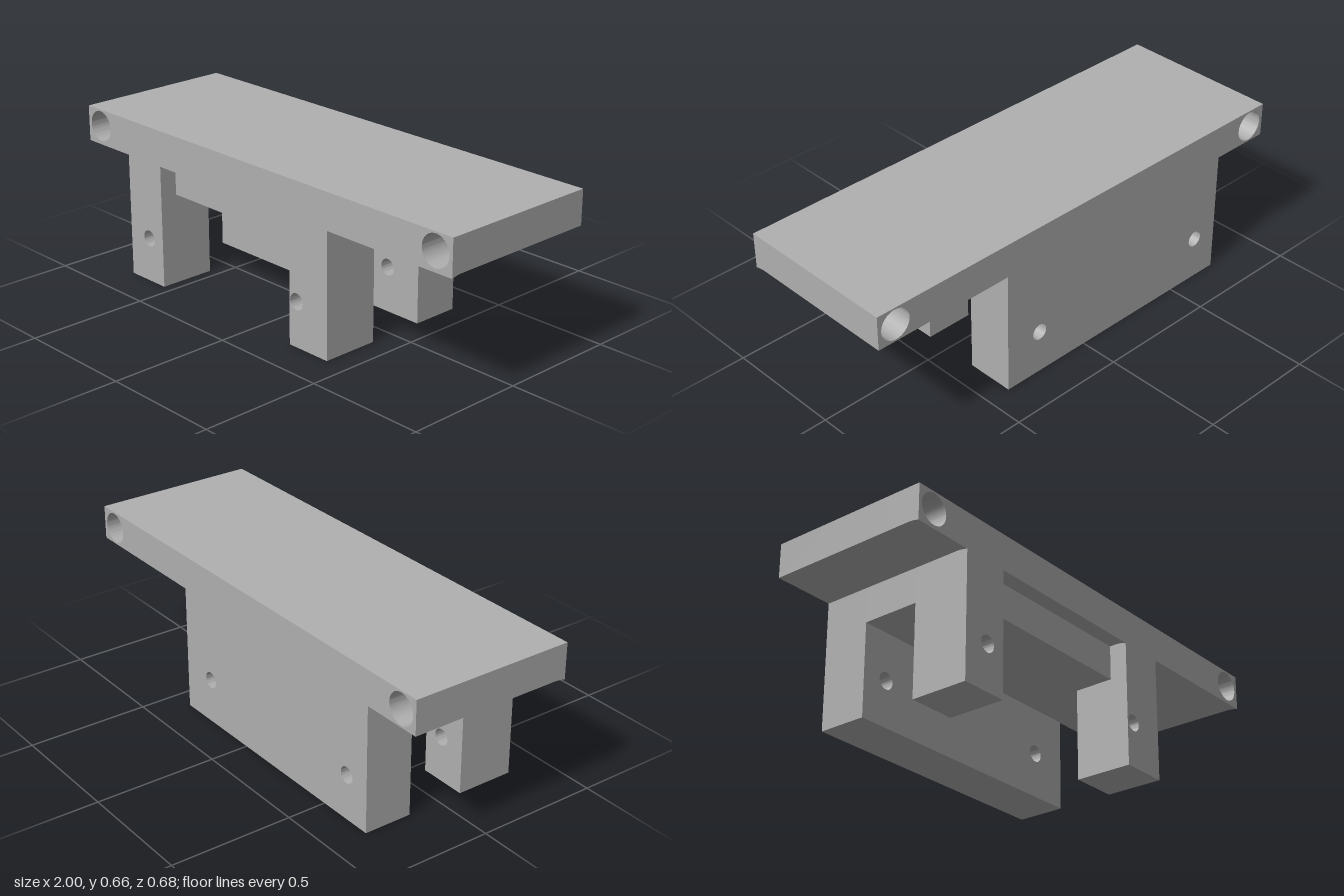
import * as THREE from 'three';
import { toCreasedNormals } from 'three/addons/utils/BufferGeometryUtils.js';

const TOP = 0.66, DECK = 0.52, ARCH = 0.377;
const FRONT = 0.34, BACK = -0.34;
const LEFT_EDGE = -0.745, RIGHT_EDGE = 0.4, LEG = 0.2;
const BOLTS = [[-0.63, 0.185, 0.034], [0.238, 0.185, 0.034]];
const SOCKETS = [[-0.922, 0.59, 0.063], [0.922, 0.59, 0.063]];

export function createModel() {
  const model = new THREE.Group();
  model.name = 'bracket';
  const grey = new THREE.MeshStandardMaterial({ color: 0xb0b0b0 });
  grey.name = 'plain grey';

  // Rectangular block running from z0 to z1, pierced by round holes along z
  function block(name, [x0, x1], [y0, y1], [z0, z1], holes = [], lip = false) {
    const shape = new THREE.Shape([
      new THREE.Vector2(x0, y0), new THREE.Vector2(x1, y0),
      new THREE.Vector2(x1, y1), new THREE.Vector2(x0, y1),
    ]);
    for (const [x, y, r] of holes) {
      shape.holes.push(new THREE.Path().absarc(x, y, r, 0, Math.PI * 2, true));
    }
    const geometry = new THREE.ExtrudeGeometry(shape, {
      depth: z1 - z0, steps: lip ? 24 : 1, bevelEnabled: false, curveSegments: 24,
    });
    geometry.translate(0, 0, z0);
    if (lip) {
      // The underside dips gently towards the front edge
      const p = geometry.attributes.position;
      for (let i = 0; i < p.count; i++) {
        const t = Math.max(0, (p.getZ(i) - 0.29) / 0.05);
        if (p.getY(i) < y0 + 0.001) p.setY(i, y0 - 0.008 * t * t);
      }
    }
    const mesh = new THREE.Mesh(toCreasedNormals(geometry, Math.PI / 6), grey);
    mesh.name = name;
    model.add(mesh);
  }

  // Top slab in three lengths: the solid middle closes the blind sockets
  block('slabFront', [-1, 1], [DECK, TOP], [0.1, FRONT], SOCKETS, true);
  block('slabMiddle', [-1, 1], [DECK, TOP], [-0.1, 0.1]);
  block('slabBack', [-1, 1], [DECK, TOP], [BACK, -0.1], SOCKETS);

  // Full-width rear plate with two bolt holes
  block('backPlate', [LEFT_EDGE, RIGHT_EDGE], [0, DECK], [BACK, -0.14], BOLTS);

  // Two front legs, one bolt hole each
  block('rightLeg', [LEFT_EDGE, LEFT_EDGE + LEG], [0, DECK], [0.1, FRONT], [BOLTS[0]]);
  block('leftLeg', [RIGHT_EDGE - LEG, RIGHT_EDGE], [0, DECK], [0.1, FRONT], [BOLTS[1]]);

  // Bridge above the channel, and its recessed face between the legs
  block('bridge', [LEFT_EDGE, RIGHT_EDGE], [ARCH, DECK], [-0.14, 0.1]);
  block('recessedPanel', [LEFT_EDGE + LEG, RIGHT_EDGE - LEG], [ARCH, DECK], [0.1, 0.265]);

  return model;
}
